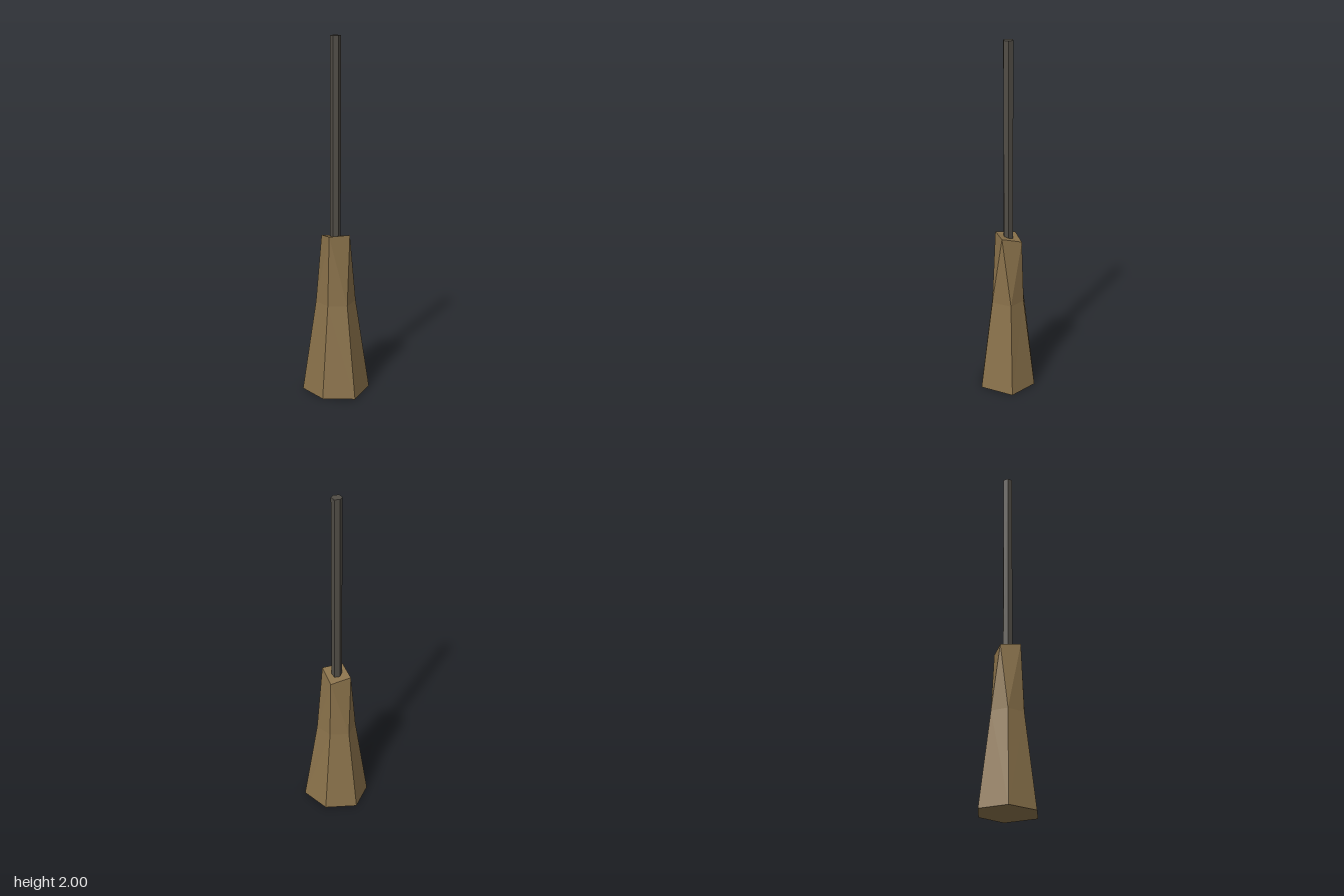
import * as THREE from 'three';

// Faceted solid from stacked rings of six corners [x, y, z], listed front, left side, back, right side
function facetedSolid(rings) {
  const pos = [];
  const tri = (...corners) => corners.forEach((p) => pos.push(...p));
  for (let r = 0; r + 1 < rings.length; r++) {
    for (let i = 0; i < 6; i++) {
      const j = (i + 1) % 6;
      const a = rings[r][i], b = rings[r][j], c = rings[r + 1][j], d = rings[r + 1][i];
      // diagonals run to the front and back corners of the upper ring
      if (i === 2 || i === 5) {
        tri(a, b, c);
        if (c !== d) tri(a, c, d);
      } else {
        tri(a, b, d);
        if (c !== d) tri(b, c, d);
      }
    }
  }
  // end caps
  const low = rings[0], top = rings[rings.length - 1];
  for (let i = 1; i < 5; i++) {
    tri(low[0], low[i + 1], low[i]);
    if (top[i] !== top[i + 1]) tri(top[0], top[i], top[i + 1]);
  }
  const geo = new THREE.BufferGeometry();
  geo.setAttribute('position', new THREE.Float32BufferAttribute(pos, 3));
  geo.computeVertexNormals();
  return geo;
}

export function createModel() {
  const wood = new THREE.MeshStandardMaterial({ color: 0x89714a, flatShading: true });
  wood.name = 'wood';
  const iron = new THREE.MeshStandardMaterial({ color: 0x504c45, flatShading: true });
  iron.name = 'darkIron';

  const group = new THREE.Group();

  // Irregular hexagonal handle narrowing to a slanted four-cornered top
  const base = [[0, 0.165], [0.165, 0.09], [0.162, -0.107], [-0.004, -0.168], [-0.167, -0.08], [-0.164, 0.09]]
    .map(([x, z]) => [x, 0, z]);
  const waist = [[0, 0.098], [0.097, 0.052], [0.094, -0.064], [-0.002, -0.096], [-0.099, -0.048], [-0.097, 0.052]]
    .map(([x, z]) => [x, 0.53, z]);
  const front = [0, 0.924, 0.08], left = [0.085, 0.924, -0.004];
  const back = [-0.002, 0.89, -0.083], right = [-0.087, 0.905, 0];
  const handle = new THREE.Mesh(facetedSolid([base, waist, [front, left, left, back, right, right]]), wood);
  handle.name = 'handle';
  group.add(handle);

  // Hexagonal rod rising from the handle
  const rod = new THREE.Mesh(new THREE.CylinderGeometry(0.029, 0.029, 1.12, 6), iron);
  rod.name = 'rod';
  rod.position.set(-0.001, 1.44, 0);
  group.add(rod);

  return group;
}
